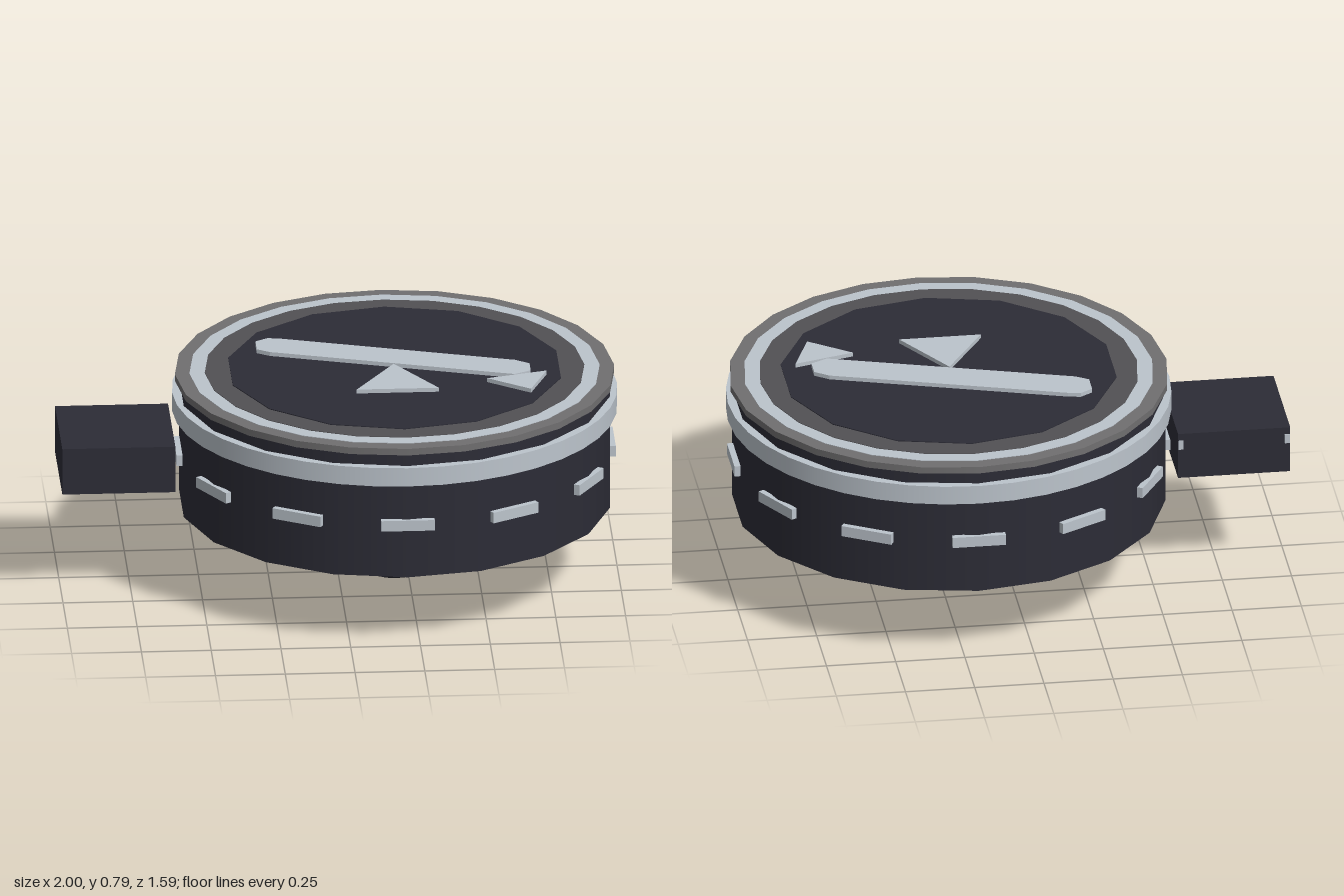
import * as THREE from 'three';

function mat(name, color) {
  const m = new THREE.MeshStandardMaterial({ color });
  m.name = name;
  return m;
}

export function createModel() {
  const dark = mat('dark slate', 0x2c2c36);
  const silver = mat('pale silver', 0xbcc4cc);
  const grey = mat('rim grey', 0x706f70);
  const charcoal = mat('inner grey', 0x525154);

  const model = new THREE.Group();
  const drum = new THREE.Group();
  drum.name = 'drum';
  drum.position.x = 0.203;
  model.add(drum);

  function add(parent, name, geometry, material, x = 0, y = 0, z = 0) {
    const mesh = new THREE.Mesh(geometry, material);
    mesh.name = name;
    mesh.position.set(x, y, z);
    parent.add(mesh);
    return mesh;
  }
  // Upright cylinder given by its bottom and top heights
  function disc(name, rTop, rBottom, y0, y1, sides, material) {
    return add(drum, name, new THREE.CylinderGeometry(rTop, rBottom, y1 - y0, sides),
      material, 0, (y0 + y1) / 2);
  }

  // Body, tapered underside and band
  disc('body', 0.775, 0.775, 0.273, 0.746, 18, dark);
  disc('taperedBase', 0.71, 0.08, 0, 0.274, 14, dark);
  disc('band', 0.797, 0.797, 0.63, 0.7, 40, silver);

  // Lid as stepped concentric discs
  disc('lidRim', 0.787, 0.787, 0.745, 0.77, 24, grey);
  disc('lidRing', 0.735, 0.735, 0.76, 0.772, 24, silver);
  disc('lidInnerRing', 0.68, 0.68, 0.76, 0.774, 24, charcoal);
  disc('dial', 0.603, 0.603, 0.76, 0.777, 14, dark);

  // Twelve dashes around the body
  const dashGeometry = new THREE.BoxGeometry(0.192, 0.04, 0.022);
  for (let i = 0; i < 12; i++) {
    const a = (i / 12) * Math.PI * 2;
    const dash = add(drum, 'dash', dashGeometry, silver,
      Math.sin(a) * 0.776, 0.475, Math.cos(a) * 0.776);
    dash.rotation.y = a;
  }

  // Flat raised symbols on the dial, outlined in x and z
  function symbol(name, points) {
    const shape = new THREE.Shape(points.map(([x, z]) => new THREE.Vector2(x, z)));
    const geometry = new THREE.ExtrudeGeometry(shape, { depth: 0.02, bevelEnabled: false });
    geometry.rotateX(Math.PI / 2);
    add(model, name, geometry, silver, 0, 0.792, 0);
  }
  symbol('beam', [[-0.28, -0.25], [-0.235, -0.28], [-0.19, -0.272], [0.635, -0.012],
    [0.685, 0.025], [0.685, 0.095], [0.625, 0.128], [-0.235, -0.142], [-0.28, -0.172]]);
  symbol('pivotTriangle', [[0.2, 0], [0.347, 0.247], [0.052, 0.247]]);
  symbol('endTriangle', [[0.742, 0.1], [0.675, 0.277], [0.525, 0.163]]);

  // Side block with tiny marks on its back face
  add(model, 'sideBlock', new THREE.BoxGeometry(0.405, 0.174, 0.427), dark, -0.7975, 0.487, -0.003);
  for (const x of [-0.606, -0.989]) {
    add(model, 'blockMark', new THREE.BoxGeometry(0.018, 0.035, 0.006), silver, x, 0.53, -0.216);
  }
  return model;
}
